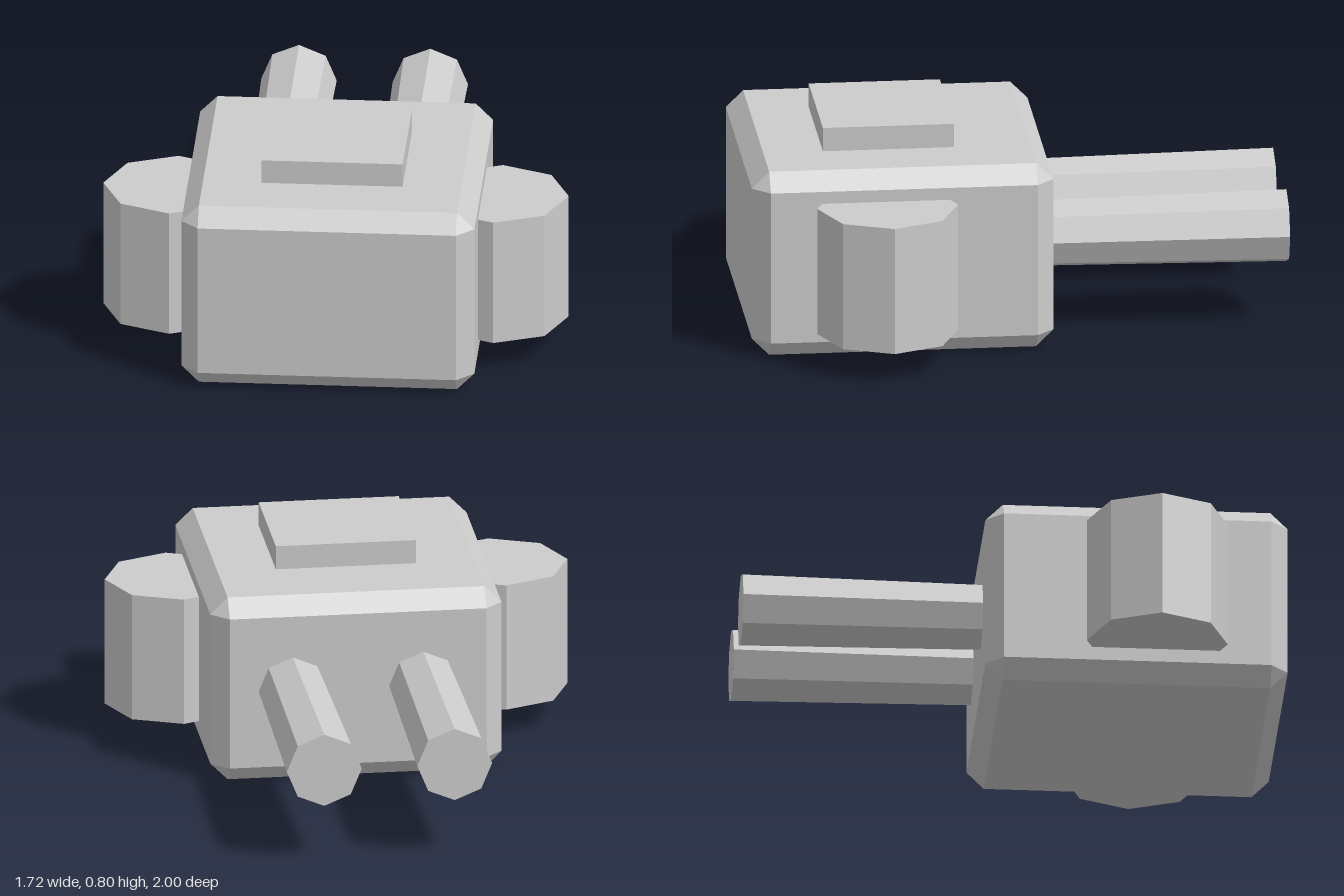
import * as THREE from 'three';
import { ConvexGeometry } from 'three/addons/geometries/ConvexGeometry.js';

// Box with every edge and corner cut flat
function chamferedBox(w, h, d, c) {
  const points = [];
  for (const x of [-1, 1]) for (const y of [-1, 1]) for (const z of [-1, 1])
    for (let axis = 0; axis < 3; axis++) {
      const cut = [c, c, c];
      cut[axis] = 0;
      points.push(new THREE.Vector3(x * (w / 2 - cut[0]), y * (h / 2 - cut[1]), z * (d / 2 - cut[2])));
    }
  return new ConvexGeometry(points);
}

export function createModel() {
  const model = new THREE.Group();
  model.name = 'twinBarrelTurret';
  const grey = new THREE.MeshStandardMaterial({ color: 0xcccccc, flatShading: true });
  grey.name = 'light grey';

  const add = (name, geometry, x, y, z) => {
    const mesh = new THREE.Mesh(geometry, grey);
    mesh.name = name;
    mesh.position.set(x, y, z);
    model.add(mesh);
    return mesh;
  };

  // Chamfered housing and the raised hatch on its roof
  add('housing', chamferedBox(1.08, 0.71, 1.115, 0.064), 0, 0.355, 0.4425);
  add('roofHatch', new THREE.BoxGeometry(0.52, 0.1, 0.485), 0, 0.75, 0.473);

  // Octagonal side drums and the slightly flared barrels, mirrored
  for (const [side, s] of [['left', 1], ['right', -1]]) {
    add(side + 'Drum', new THREE.CylinderGeometry(0.26, 0.26, 0.485, 8), s * 0.598, 0.3575, 0.51);
    const barrel = add(side + 'Barrel', new THREE.CylinderGeometry(0.126, 0.139, 0.95, 8), s * 0.242, 0.36, -0.525);
    barrel.rotation.x = Math.PI / 2;
  }
  return model;
}
